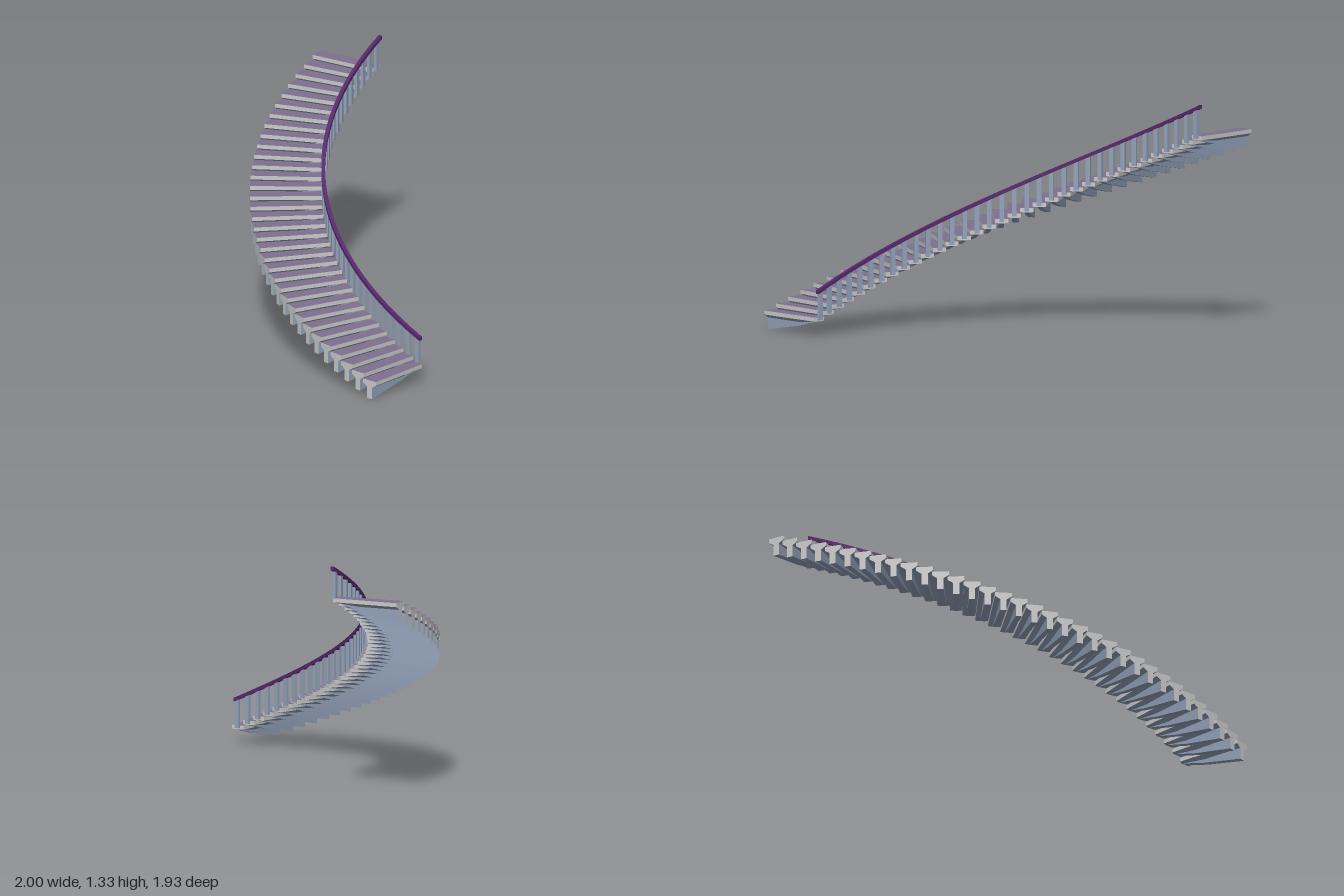
import * as THREE from 'three';

const STEPS = 34, R = 2.0, R_IN = 1.59, RAIL_R = 1.583;
const DELTA = THREE.MathUtils.degToRad(2.57);   // turn per step
const FIRST = THREE.MathUtils.degToRad(1.38);   // centre of the first step
const RISE = 1.04 / (STEPS - 1);

const paint = (color) => new THREE.MeshStandardMaterial({ color, flatShading: true });

// Skin a list of closed sections (arrays of Vector3). edgeMats gives the material
// index of each ring edge, outline is the 2D ring used to close both ends.
function loft(sections, edgeMats, outline, capMat) {
  const pos = [], geo = new THREE.BufferGeometry();
  const n = outline.length;
  const tri = (mat, ...pts) => {
    geo.addGroup(pos.length / 3, 3, mat);
    pts.forEach((p) => pos.push(p.x, p.y, p.z));
  };
  for (let s = 0; s < sections.length - 1; s++) {
    const a = sections[s], b = sections[s + 1];
    for (let i = 0; i < n; i++) {
      const j = (i + 1) % n;
      tri(edgeMats[i], a[i], a[j], b[j]);
      tri(edgeMats[i], a[i], b[j], b[i]);
    }
  }
  const first = sections[0], last = sections[sections.length - 1];
  for (const [a, b, c] of THREE.ShapeUtils.triangulateShape(outline, [])) {
    tri(capMat, first[c], first[b], first[a]);
    tri(capMat, last[a], last[b], last[c]);
  }
  geo.setAttribute('position', new THREE.Float32BufferAttribute(pos, 3));
  geo.computeVertexNormals();
  return geo;
}

// Loft along the radius from [radius, ring] stations
function radialLoft(stations, edgeMats, capMat) {
  const sections = stations.map(([r, ring]) => ring.map(([x, y]) => new THREE.Vector3(x, y, r)));
  const outline = stations[stations.length - 1][1].map(([x, y]) => new THREE.Vector2(x, y));
  return loft(sections, edgeMats, outline, capMat);
}

export function createModel() {
  const model = new THREE.Group();
  model.name = 'curvedStaircase';
  const stair = new THREE.Group();
  stair.name = 'stairFlight';
  stair.position.set(1, 0, -1.035);             // centre of the curve
  model.add(stair);

  const grey = paint(0xcccccc), purple = paint(0x7d708f);
  const steel = paint(0x94a3ba), railPaint = paint(0x56286b);

  // Wedge-shaped tread: grey edges, coloured top
  const slabRing = (r) => {
    const w = 0.048 * r / R;
    return [[-w, 0.087], [w, 0.087], [w, 0.11], [-w, 0.11]];
  };
  const treadGeo = radialLoft([[R_IN, slabRing(R_IN)], [R, slabRing(R)]], [0, 0, 1, 0], 0);

  // T-shaped bracket under the tread, deepest at the outer end
  const bracketRing = (r, bottom) => {
    const w = 0.048 * r / R, s = 0.018 * r / R, h = Math.max(bottom, 0.068);
    return [[-s, bottom], [s, bottom], [s, h], [w, 0.087], [-w, 0.087], [-s, h]];
  };
  const bracketGeo = radialLoft(
    [[R_IN, 0.085], [1.74, 0.047], [R, 0]].map(([r, b]) => [r, bracketRing(r, b)]),
    [0, 0, 0, 0, 0, 0], 1);

  const balusterGeo = new THREE.BoxGeometry(0.026, 0.167, 0.018);

  for (let i = 0; i < STEPS; i++) {
    const step = new THREE.Group();
    step.name = `step${i + 1}`;
    step.rotation.y = -(FIRST + i * DELTA);
    step.position.y = i * RISE;
    const tread = new THREE.Mesh(treadGeo, [grey, purple]);
    tread.name = 'tread';
    const bracket = new THREE.Mesh(bracketGeo, [steel, grey]);
    bracket.name = 'bracket';
    const baluster = new THREE.Mesh(balusterGeo, steel);
    baluster.name = 'baluster';
    baluster.position.set(0, 0.1775, RAIL_R);
    step.add(tread, bracket, baluster);
    stair.add(step);
  }

  // Handrail: rectangular section swept up the inner curve
  const t = 0.011, SEG = 72;
  const outline = [[-t, -t], [t, -t], [t, t], [-t, t]].map(([x, y]) => new THREE.Vector2(x, y));
  const start = 0.012, end = FIRST + (STEPS - 1) * DELTA + 0.022;
  const railSections = [];
  for (let k = 0; k <= SEG; k++) {
    const a = start + (end - start) * k / SEG;
    const y = 0.264 + (a - FIRST) / DELTA * RISE;
    railSections.push(outline.map((p) => new THREE.Vector3(
      -Math.sin(a) * (RAIL_R + p.x), y + p.y, Math.cos(a) * (RAIL_R + p.x))));
  }
  const rail = new THREE.Mesh(loft(railSections, [0, 0, 0, 0], outline, 0), [railPaint]);
  rail.name = 'handrail';
  stair.add(rail);

  return model;
}
